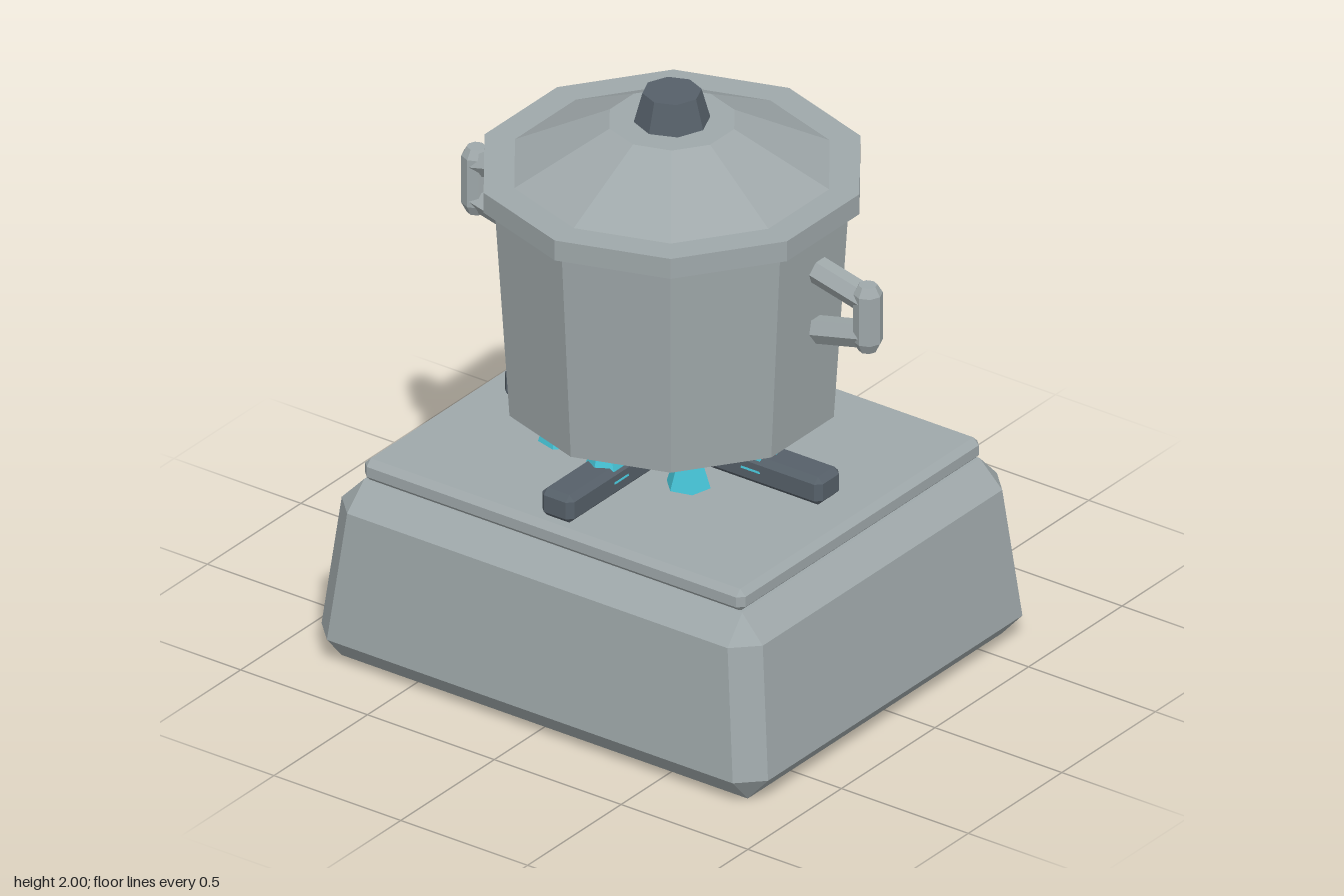
import * as THREE from 'three';

// Hard-edged copy of a geometry with one normal per face
function facet(geometry) {
  const g = geometry.index ? geometry.toNonIndexed() : geometry;
  g.computeVertexNormals();
  return g;
}

// Box-like solid from levels [y, halfX, halfZ, cornerCut], bottom to top
function loft(levels) {
  const rings = levels.map(([y, x, z, c]) => [
    [x, y, z - c], [x, y, c - z], [x - c, y, -z], [c - x, y, -z],
    [-x, y, c - z], [-x, y, z - c], [c - x, y, z], [x - c, y, z],
  ]);
  const pos = [];
  const same = (p, q) => p.every((v, i) => Math.abs(v - q[i]) < 1e-6);
  const tri = (a, b, c) => {
    if (!same(a, b) && !same(b, c) && !same(a, c)) pos.push(...a, ...b, ...c);
  };
  for (let l = 0; l < rings.length - 1; l++) {
    for (let i = 0; i < 8; i++) {
      const j = (i + 1) % 8, lo = rings[l], hi = rings[l + 1];
      tri(lo[i], lo[j], hi[j]);
      tri(lo[i], hi[j], hi[i]);
    }
  }
  const bottom = rings[0], top = rings[rings.length - 1];
  for (let i = 1; i < 7; i++) {
    tri(bottom[0], bottom[i + 1], bottom[i]);
    tri(top[0], top[i], top[i + 1]);
  }
  const g = new THREE.BufferGeometry();
  g.setAttribute('position', new THREE.Float32BufferAttribute(pos, 3));
  return facet(g);
}

// Box with every edge bevelled by b
const bevelBox = (y0, y1, x, z, b) => loft([
  [y0, x - b, z - b, 0], [y0 + b, x, z, b], [y1 - b, x, z, b], [y1, x - b, z - b, 0],
]);

// Faceted solid of revolution from [radius, y] points
const turned = (points, sides) =>
  facet(new THREE.LatheGeometry(points.map(([r, y]) => new THREE.Vector2(r, y)), sides));

export function createModel() {
  const material = (name, color) => {
    const m = new THREE.MeshStandardMaterial({ color });
    m.name = name;
    return m;
  };
  const steel = material('steel grey', 0x9fa8aa);
  const dark = material('dark slate', 0x566069);
  const cyan = material('flame cyan', 0x46c3d6);

  const model = new THREE.Group();
  model.name = 'campStoveWithPot';
  const body = new THREE.Group();
  body.name = 'stoveAndPot';
  body.position.z = 0.05;
  model.add(body);

  const add = (name, geometry, mat, parent = body) => {
    const mesh = new THREE.Mesh(geometry, mat);
    mesh.name = name;
    parent.add(mesh);
    return mesh;
  };

  // Stove housing and top plate
  add('stoveBase', loft([
    [0, 0.8, 0.68, 0], [0.09, 0.88, 0.76, 0.08], [0.545, 0.83, 0.72, 0.08], [0.635, 0.745, 0.635, 0],
  ]), steel);
  add('topPlate', bevelBox(0.63, 0.71, 0.75, 0.645, 0.022), steel);

  // Crossed support bars
  add('supportBarAcross', bevelBox(0.72, 0.82, 0.627, 0.063, 0.02), dark);
  add('supportBarDeep', bevelBox(0.72, 0.82, 0.063, 0.627, 0.02), dark);

  // Ring of flames
  const flameShape = facet(new THREE.ConeGeometry(0.075, 0.24, 6));
  for (let i = 0; i < 8; i++) {
    const a = (i * Math.PI) / 4;
    const flame = add('flame', flameShape, cyan);
    flame.position.set(0.355 * Math.sin(a), 0.89, 0.355 * Math.cos(a));
    flame.rotation.y = a;
  }

  // Pot, lid and lid knob
  add('pot', turned([[0, 0.915], [0.541, 0.915], [0.59, 1.67], [0, 1.67]], 10), steel);
  add('lid', turned([
    [0, 1.663], [0.627, 1.663], [0.627, 1.735], [0.525, 1.735], [0.208, 1.898], [0, 1.898],
  ], 10), steel);
  add('lidKnob', turned([[0, 1.89], [0.125, 1.89], [0.095, 2], [0, 2]], 8), dark);

  // Pot handles: two slanted arms joined by an upright grip
  const grip = turned([
    [0, 1.315], [0.03, 1.315], [0.048, 1.35], [0.048, 1.52], [0.03, 1.55], [0, 1.55],
  ], 8);
  for (const side of [0, 1]) {
    const handle = new THREE.Group();
    handle.name = side ? 'rightHandle' : 'leftHandle';
    handle.rotation.y = side * Math.PI;
    body.add(handle);
    add('handleGrip', grip, steel, handle).position.x = 0.772;
    for (const s of [1, -1]) {
      const from = new THREE.Vector2(0.575, 1.4325 + s * 0.108);
      const to = new THREE.Vector2(0.775, 1.4325 + s * 0.06);
      const d = to.clone().sub(from);
      const arm = add('handleArm', facet(new THREE.CylinderGeometry(0.046, 0.046, d.length(), 6)), steel, handle);
      arm.position.set((from.x + to.x) / 2, (from.y + to.y) / 2, 0);
      arm.rotation.z = d.angle() - Math.PI / 2;
    }
  }

  // Control knob with grip tab on the back
  const dial = add('controlKnob', facet(new THREE.CylinderGeometry(0.158, 0.14, 0.125, 8)), dark);
  dial.rotation.x = Math.PI / 2;
  dial.position.set(0, 0.335, -0.7725);
  add('controlKnobTab', new THREE.BoxGeometry(0.064, 0.195, 0.08), steel).position.set(0, 0.333, -0.822);

  return model;
}
